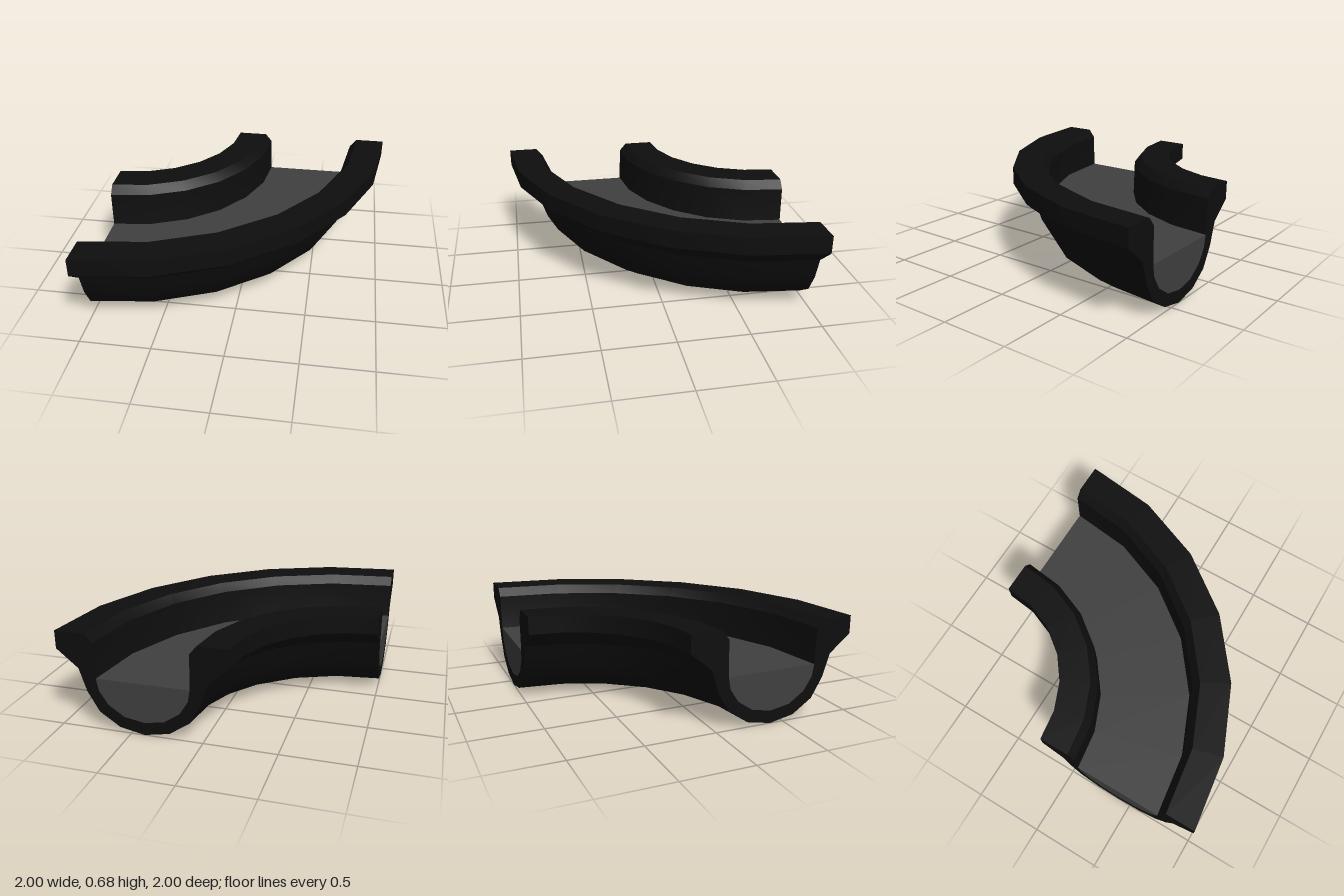
import * as THREE from 'three';
import { toCreasedNormals } from 'three/addons/utils/BufferGeometryUtils.js';

const BEND_RADIUS = 1.405; // centre line of the channel
const SEGMENTS = 6;

// Mirrors the right half of a closed section (bottom centre first, anticlockwise)
function mirrorSection(half, skipLast) {
  const left = half.slice(1, skipLast ? -1 : undefined).reverse().map(([w, y]) => [-w, y]);
  return [...half, ...left];
}

// Sweeps a closed section a quarter turn about the corner (-1, -1) and caps both ends
function sweepQuarter(section) {
  const n = section.length;
  const positions = [];
  const index = [];
  for (let k = 0; k <= SEGMENTS; k++) {
    const a = (k / SEGMENTS) * Math.PI / 2;
    for (const [w, y] of section) {
      const r = BEND_RADIUS + w;
      positions.push(-1 + r * Math.cos(a), y, -1 + r * Math.sin(a));
    }
  }
  for (let k = 0; k < SEGMENTS; k++) {
    for (let i = 0; i < n; i++) {
      const a = k * n + i;
      const b = k * n + (i + 1) % n;
      index.push(a, b, b + n, a, b + n, a + n);
    }
  }
  const contour = section.map(([w, y]) => new THREE.Vector2(w, y));
  const last = SEGMENTS * n;
  for (const [a, b, c] of THREE.ShapeUtils.triangulateShape(contour, [])) {
    index.push(a, c, b, last + a, last + b, last + c);
  }
  const geometry = new THREE.BufferGeometry();
  geometry.setAttribute('position', new THREE.Float32BufferAttribute(positions, 3));
  geometry.setIndex(index);
  return toCreasedNormals(geometry, Math.PI / 5.5);
}

function addPart(group, name, section, color) {
  const material = new THREE.MeshStandardMaterial({ color });
  const mesh = new THREE.Mesh(sweepQuarter(section), material);
  mesh.name = name;
  group.add(mesh);
}

export function createModel() {
  const group = new THREE.Group();
  group.name = 'curvedChannel';

  // Half sections as [offset from centre line, height]
  const outside = [
    [0, 0], [0.175, 0.035], [0.315, 0.13], [0.395, 0.27], [0.445, 0.43],
    [0.595, 0.555], [0.595, 0.68],
  ];
  const lip = [[0.38, 0.68], [0.33, 0.62]];
  const bed = [[0.325, 0.37], [0.31, 0.285], [0.25, 0.19], [0.14, 0.115], [0, 0.09]];

  // Trough with thick rims and a rounded underside
  addPart(group, 'trough', mirrorSection([...outside, ...lip, ...bed], true), 0x0e0e0e);

  // Filling with a level top, flush with both ends
  addPart(group, 'channelFilling', mirrorSection([...bed].reverse(), false), 0x404040);

  return group;
}
